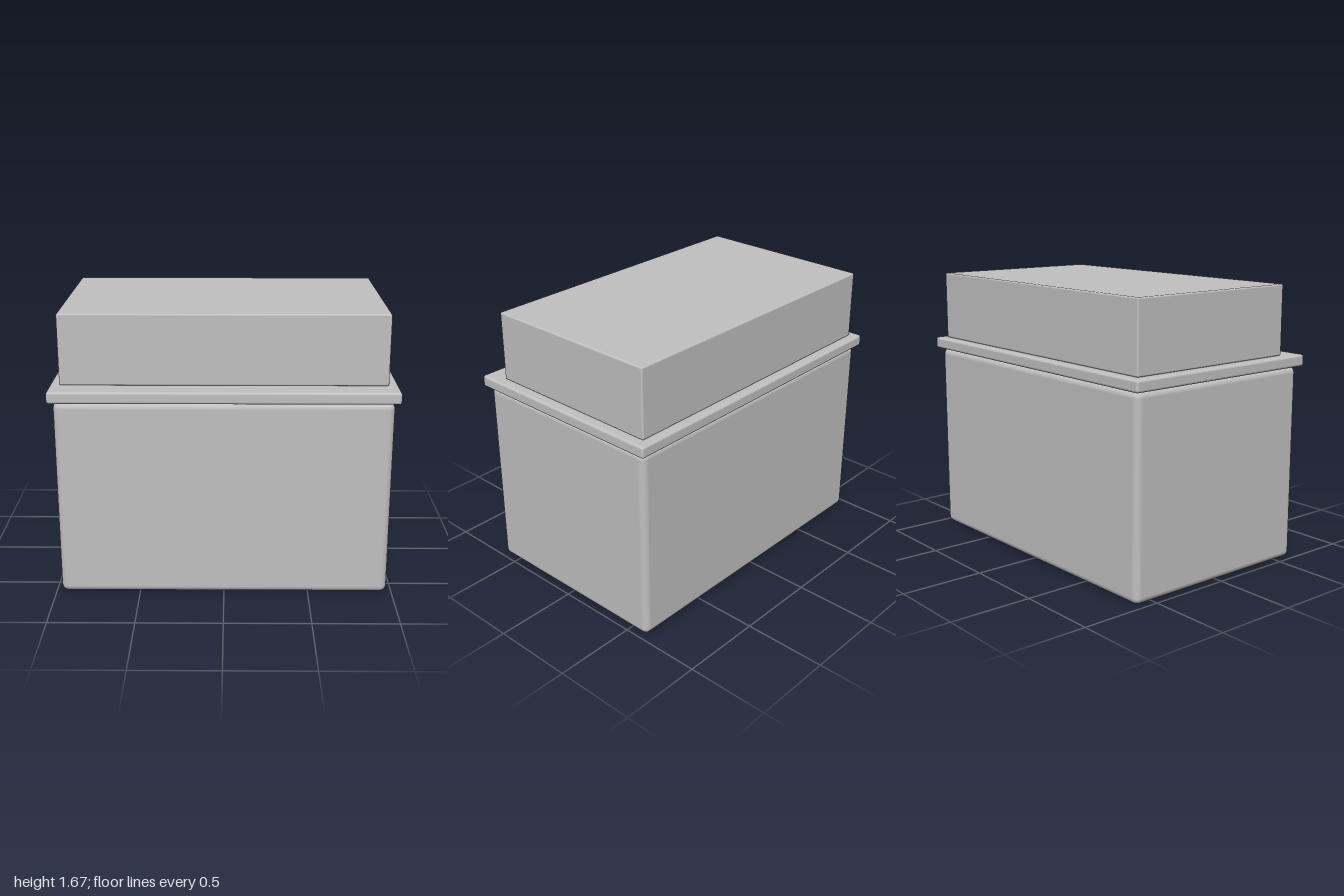
import * as THREE from 'three';
import { RoundedBoxGeometry } from 'three/addons/geometries/RoundedBoxGeometry.js';

export function createModel() {
  const group = new THREE.Group();
  const grey = new THREE.MeshStandardMaterial({ color: 0xc0c0c0 });
  grey.name = 'lightGrey';

  // Rounded block given by its width, y range, z range and edge radius
  function block(name, width, [y0, y1], [z0, z1], radius) {
    const geometry = new RoundedBoxGeometry(width, y1 - y0, z1 - z0, 4, radius);
    const mesh = new THREE.Mesh(geometry, grey);
    mesh.name = name;
    mesh.position.set(0, (y0 + y1) / 2, (z0 + z1) / 2);
    group.add(mesh);
  }

  // Main cabinet with softly rounded edges
  block('body', 1.94, [0, 1.183], [-0.625, 0.625], 0.04);
  // Thin slab overhanging the cabinet
  block('countertop', 2, [1.183, 1.253], [-0.652, 0.652], 0.015);
  // Upper box, set back from the front edge
  block('upperBox', 1.886, [1.253, 1.67], [-0.6, 0.513], 0.01);

  return group;
}
